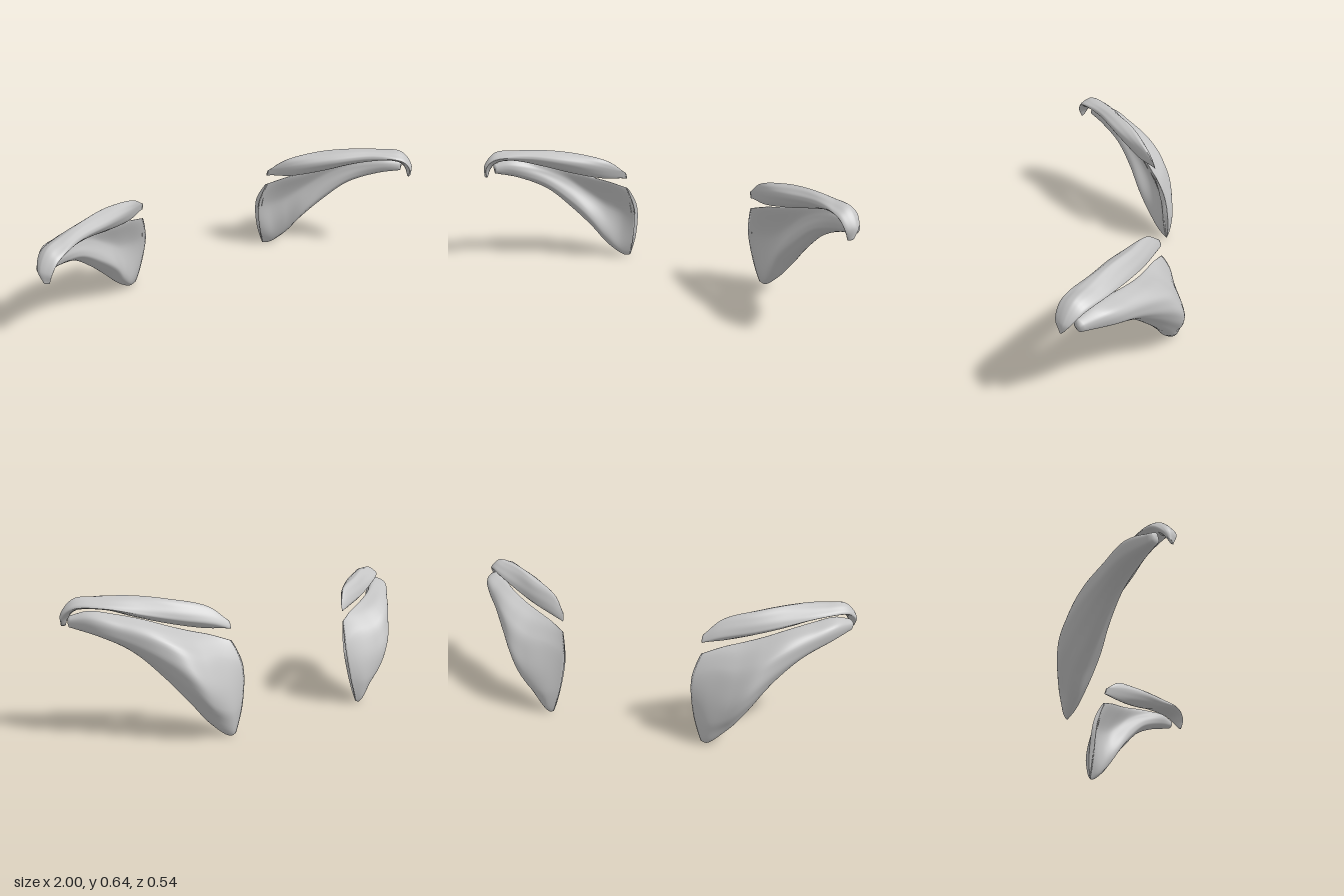
import * as THREE from 'three';

// Cross-sections from the inner end to the outer end, each a ring of [x, y, z] points
// Broad blade: top edge, front hollow, front ridge, bottom edge, lower back, upper back
const BLADE = [
  [[.36, .425, -.165], [.336, .29, -.198], [.37, .09, -.223], [.395, .008, -.238], [.353, .14, -.238], [.331, .32, -.213]],
  [[.45, .457, -.125], [.42, .28, -.193], [.43, .06, -.19], [.425, .002, -.237], [.43, .13, -.268], [.44, .36, -.205]],
  [[.54, .48, -.09], [.49, .30, -.165], [.485, .13, -.138], [.51, .07, -.195], [.515, .16, -.268], [.54, .38, -.21]],
  [[.63, .508, -.055], [.57, .36, -.115], [.545, .24, -.08], [.585, .165, -.165], [.605, .25, -.25], [.64, .435, -.185]],
  [[.72, .54, -.01], [.67, .45, -.04], [.64, .345, -.03], [.67, .285, -.09], [.70, .35, -.165], [.73, .485, -.13]],
  [[.82, .567, .06], [.775, .515, .05], [.75, .445, .04], [.775, .403, -.01], [.805, .435, -.06], [.83, .525, -.04]],
  [[.91, .582, .13], [.875, .55, .145], [.87, .50, .13], [.885, .475, .09], [.915, .49, .05], [.93, .555, .055]],
  [[.97, .56, .19], [.957, .545, .197], [.957, .525, .198], [.97, .51, .185], [.985, .515, .172], [.99, .545, .172]],
];

// Narrow upper band: back, top, front, bottom; the outer end hooks down
const BAND = [
  [[.36, .478, -.162], [.36, .512, -.152], [.37, .52, -.142], [.37, .485, -.15]],
  [[.43, .503, -.142], [.435, .58, -.095], [.465, .553, -.05], [.46, .485, -.085]],
  [[.575, .53, -.085], [.59, .618, -.03], [.615, .59, .06], [.60, .512, -.01]],
  [[.715, .56, -.015], [.73, .638, .06], [.77, .61, .15], [.74, .55, .06]],
  [[.865, .593, .07], [.86, .638, .14], [.88, .612, .235], [.86, .588, .155]],
  [[.97, .592, .16], [.945, .63, .2], [.925, .592, .26], [.93, .578, .21]],
  [[.996, .55, .212], [.992, .562, .237], [.955, .55, .269], [.958, .545, .23]],
  [[.988, .515, .238], [.985, .508, .25], [.965, .505, .255], [.965, .51, .245]],
];

// Smooth closed loft through the sections, with faint lengthwise fibres
function loft(sections, side, fibre) {
  const along = 56, around = 60;
  const rails = sections[0].map((_, k) =>
    new THREE.CatmullRomCurve3(sections.map(s => new THREE.Vector3(...s[k]))));
  const pos = [], index = [];
  const put = p => pos.push(p.x * side, p.y, p.z);
  const tri = (a, b, c) => (side > 0 ? index.push(a, b, c) : index.push(a, c, b));
  const centres = [];
  for (let i = 0; i <= along; i++) {
    const t = i / along;
    const pts = rails.map(r => r.getPoint(t));
    const centre = pts.reduce((c, p) => c.add(p), new THREE.Vector3()).divideScalar(pts.length);
    const ring = new THREE.CatmullRomCurve3(pts, true);
    centres.push(centre);
    for (let j = 0; j < around; j++) {
      const v = j / around;
      const ripple = 1 + fibre * Math.sin(t * Math.PI) * Math.sin(v * Math.PI * 22 + t * 5);
      put(ring.getPoint(v).sub(centre).multiplyScalar(ripple).add(centre));
    }
  }
  for (let i = 0; i < along; i++) {
    for (let j = 0; j < around; j++) {
      const a = i * around + j, b = i * around + (j + 1) % around;
      tri(a, b, a + around);
      tri(b, b + around, a + around);
    }
  }
  // End caps
  const first = pos.length / 3, last = first + 1, end = along * around;
  put(centres[0]);
  put(centres[along]);
  for (let j = 0; j < around; j++) {
    const n = (j + 1) % around;
    tri(first, n, j);
    tri(last, end + j, end + n);
  }
  const geo = new THREE.BufferGeometry();
  geo.setAttribute('position', new THREE.Float32BufferAttribute(pos, 3));
  geo.setIndex(index);
  geo.computeVertexNormals();
  return geo;
}

export function createModel() {
  const grey = new THREE.MeshStandardMaterial({ color: 0xc4c4c4 });
  grey.name = 'light grey';
  const model = new THREE.Group();
  model.name = 'shoulderBladeMuscles';
  for (const [name, side] of [['left', 1], ['right', -1]]) {
    const group = new THREE.Group();
    group.name = name + 'Shoulder';
    const blade = new THREE.Mesh(loft(BLADE, side, 0.012), grey);
    blade.name = name + 'LowerMuscle';
    const band = new THREE.Mesh(loft(BAND, side, 0.012), grey);
    band.name = name + 'UpperMuscle';
    group.add(blade, band);
    model.add(group);
  }
  return model;
}
